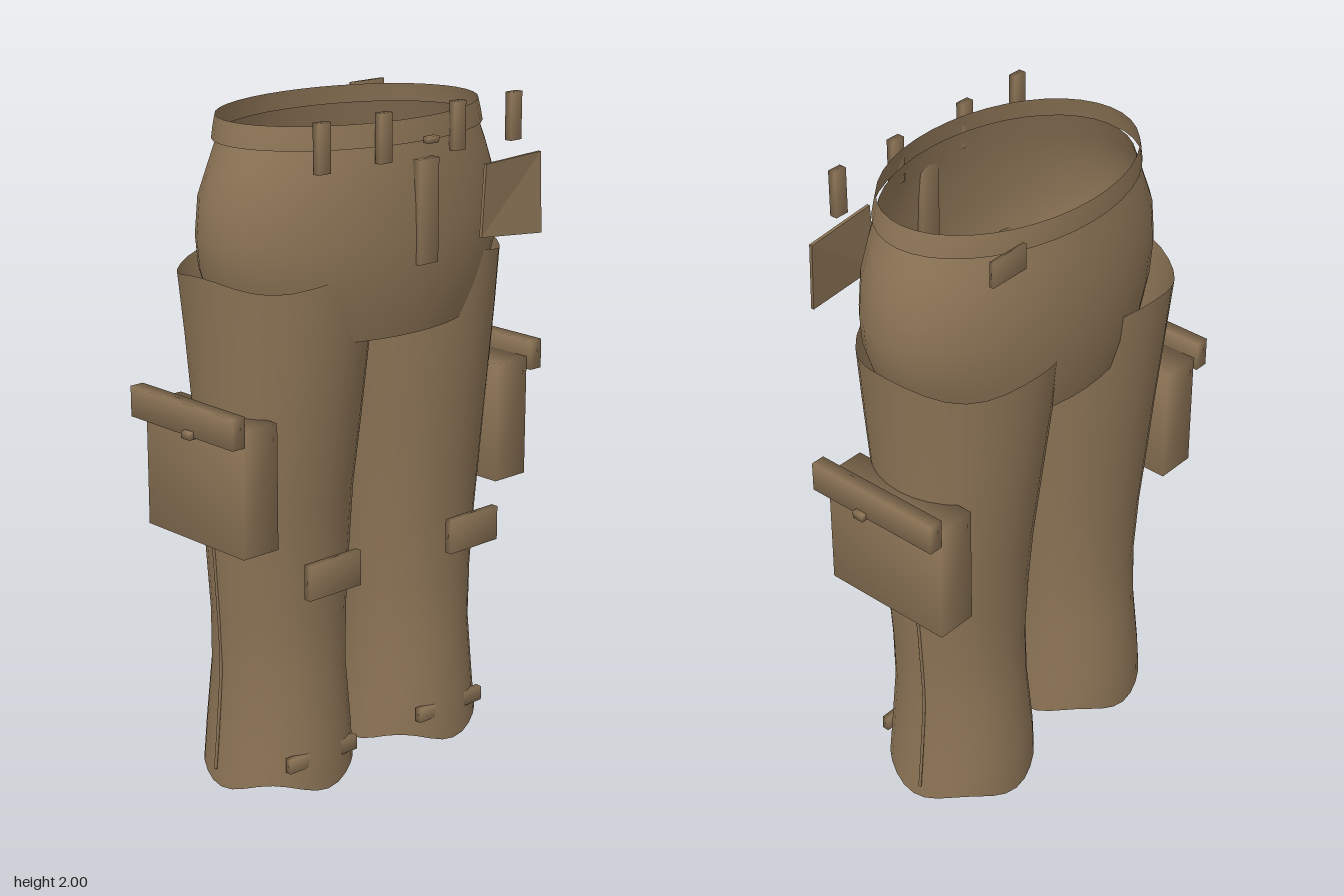
import * as THREE from 'three';
import { mergeVertices } from 'three/addons/utils/BufferGeometryUtils.js';

const khaki = new THREE.MeshStandardMaterial({ color: 0x8b7355, side: THREE.DoubleSide });
khaki.name = 'khaki';

function add(parent, name, geometry) {
  const mesh = new THREE.Mesh(geometry, khaki);
  mesh.name = name;
  parent.add(mesh);
  return mesh;
}

// Open tube through elliptical rows [y, xMin, xMax, zBack, zFront];
// wave(row, angle) shifts a point up or down
function loft(rows, wave = () => 0, sides = 32) {
  const pos = [], idx = [];
  rows.forEach(([y, x0, x1, z0, z1], r) => {
    for (let i = 0; i < sides; i++) {
      const a = (i / sides) * Math.PI * 2;
      pos.push((x0 + x1) / 2 + Math.cos(a) * (x1 - x0) / 2, y + wave(r, a),
        (z0 + z1) / 2 + Math.sin(a) * (z1 - z0) / 2);
      if (r < rows.length - 1) {
        const j = (i + 1) % sides, p = r * sides, q = p + sides;
        idx.push(p + i, q + i, p + j, p + j, q + i, q + j);
      }
    }
  });
  const g = new THREE.BufferGeometry();
  g.setAttribute('position', new THREE.Float32BufferAttribute(pos, 3));
  g.setIndex(idx);
  g.computeVertexNormals();
  return g;
}

// Box given by its limits, with softly shaded corners
function box(x0, x1, y0, y1, z0, z1) {
  let g = new THREE.BoxGeometry(x1 - x0, y1 - y0, z1 - z0);
  g.translate((x0 + x1) / 2, (y0 + y1) / 2, (z0 + z1) / 2);
  g.deleteAttribute('normal');
  g.deleteAttribute('uv');
  g = mergeVertices(g);
  g.computeVertexNormals();
  return g;
}

// Same box on the chosen side of the body
const sideBox = (s, x0, x1, ...rest) => (s > 0 ? box(x0, x1, ...rest) : box(-x1, -x0, ...rest));

export function createModel() {
  const model = new THREE.Group();
  model.name = 'trousers';

  // Hips and waistband
  add(model, 'hips', loft([
    [1.36, -0.41, 0.41, -0.29, 0.27],
    [1.45, -0.465, 0.465, -0.31, 0.29],
    [1.55, -0.5, 0.5, -0.32, 0.303],
    [1.64, -0.508, 0.508, -0.325, 0.305],
    [1.75, -0.497, 0.497, -0.32, 0.3],
    [1.84, -0.46, 0.46, -0.305, 0.29],
    [1.92, -0.425, 0.425, -0.29, 0.275],
  ], undefined, 40));
  add(model, 'waistband', loft([
    [1.905, -0.445, 0.445, -0.305, 0.287],
    [1.94, -0.438, 0.438, -0.303, 0.282],
    [1.97, -0.43, 0.43, -0.3, 0.277],
  ], undefined, 40));

  // Legs: inner edge, outer edge, back, front at each height
  const legRows = [
    [0.018, 0.037, 0.483, -0.265, 0.18],
    [0.15, 0.045, 0.47, -0.262, 0.175],
    [0.35, 0.06, 0.455, -0.24, 0.158],
    [0.52, 0.055, 0.462, -0.23, 0.155],
    [0.72, 0.045, 0.475, -0.24, 0.166],
    [0.9, 0.037, 0.488, -0.258, 0.182],
    [1.1, 0.02, 0.495, -0.282, 0.208],
    [1.35, -0.003, 0.51, -0.312, 0.235],
    [1.535, -0.02, 0.525, -0.33, 0.245],
  ];
  const last = legRows.length - 1;
  const hemWave = (r, a) => (r === 0 ? -0.018 : r === last ? 0.013 : 0) * Math.cos(4 * a);

  for (const s of [1, -1]) {
    const leg = new THREE.Group();
    leg.name = s > 0 ? 'leftLeg' : 'rightLeg';
    model.add(leg);
    const rows = legRows.map(([y, i, o, b, f]) => (s > 0 ? [y, i, o, b, f] : [y, -o, -i, b, f]));
    add(leg, 'trouserLeg', loft(rows, hemWave));

    // Outer seam
    const path = legRows.slice(0, 6).map(([y, , o]) => new THREE.Vector3(s * (o - 0.001), y + 0.03, -0.07));
    add(leg, 'sideSeam', new THREE.TubeGeometry(new THREE.CatmullRomCurve3(path), 24, 0.005, 6));

    // Cargo pocket with flap and button
    add(leg, 'cargoPocket', sideBox(s, 0.437, 0.563, 0.79, 1.16, -0.25, 0.17));
    add(leg, 'cargoFlap', sideBox(s, 0.566, 0.61, 1.12, 1.21, -0.26, 0.185));
    add(leg, 'cargoButton', sideBox(s, 0.595, 0.625, 1.115, 1.137, -0.018, 0.018));

    // Knee patch and ankle strap
    add(leg, 'kneePatch', sideBox(s, 0.182, 0.378, 0.637, 0.742, 0.213, 0.236));
    add(leg, 'ankleStrap', sideBox(s, 0.132, 0.394, 0.083, 0.127, 0.144, 0.166));
  }

  // Belt loops, fly, waist button and back tab
  for (const x of [-0.368, -0.143, 0.139, 0.365]) {
    add(model, 'beltLoop', box(x - 0.022, x + 0.022, 1.862, 2, 0.27, 0.293));
  }
  add(model, 'fly', box(-0.037, 0.036, 1.565, 1.86, 0.287, 0.315));
  add(model, 'waistButton', box(-0.02, 0.02, 1.905, 1.923, 0.308, 0.33));
  add(model, 'backTab', box(0.28, 0.41, 1.89, 1.965, -0.311, -0.299));

  // Front patch pocket, twisted back toward its upper outer corner
  const patch = new THREE.Shape([[0.203, 1.608], [0.45, 1.585], [0.477, 1.815], [0.22, 1.815]]
    .map(([x, y]) => new THREE.Vector2(x, y)));
  const patchGeo = new THREE.ExtrudeGeometry(patch, { depth: 0.01, bevelEnabled: false });
  const p = patchGeo.attributes.position;
  for (let i = 0; i < p.count; i++) {
    p.setZ(i, p.getZ(i) + 0.311 - 0.55 * (p.getX(i) - 0.2) * (p.getY(i) - 1.59));
  }
  patchGeo.computeVertexNormals();
  add(model, 'frontPocket', patchGeo);

  return model;
}
